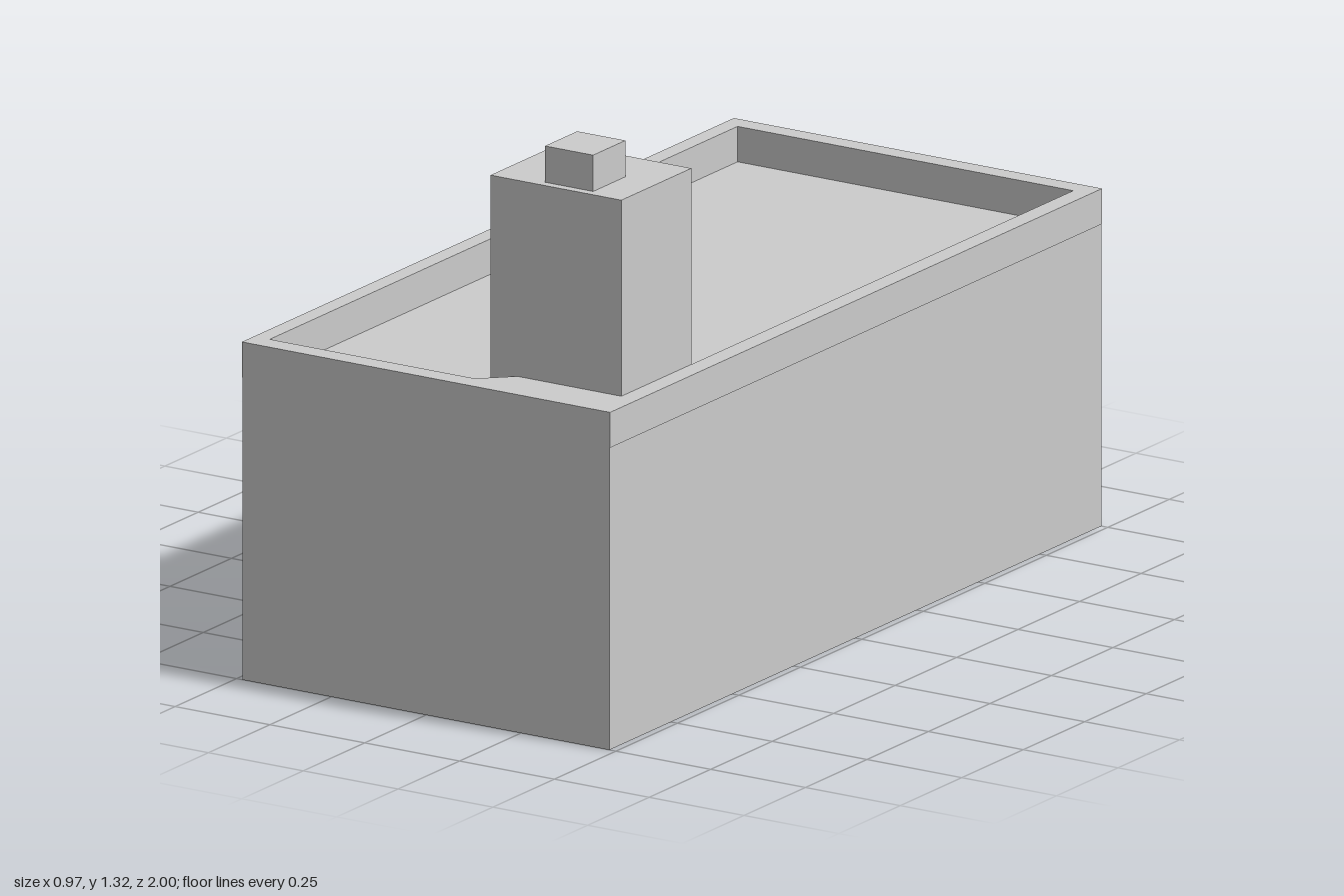
import * as THREE from 'three';

const material = new THREE.MeshStandardMaterial({ color: 0xcccccc, flatShading: true });

// Box given by its lower and upper bounds on each axis
function block(name, [x0, x1], [y0, y1], [z0, z1]) {
  const mesh = new THREE.Mesh(new THREE.BoxGeometry(x1 - x0, y1 - y0, z1 - z0), material);
  mesh.position.set((x0 + x1) / 2, (y0 + y1) / 2, (z0 + z1) / 2);
  mesh.name = name;
  return mesh;
}

// Plan outline in (x, z)
const plan = (points) => points.map(([x, z]) => new THREE.Vector2(x, z));

export function createModel() {
  const group = new THREE.Group();
  group.name = 'building';
  const roofY = 0.7, rimY = 0.782, towerY = 1.236;

  // Main volume, its top is the sunken flat roof
  group.add(block('body', [-0.485, 0.483], [0, roofY], [-1, 1]));

  // Parapet around the roof, widened at the front corner beside the tower
  const outline = new THREE.Shape(plan([[-0.486, -1], [0.485, -1], [0.485, 1], [-0.486, 1]]));
  outline.holes.push(new THREE.Path(plan([
    [-0.445, -0.952], [-0.445, 0.95], [0.095, 0.95], [0.165, 0.885], [0.44, 0.885], [0.44, -0.952],
  ])));
  const rim = new THREE.ExtrudeGeometry(outline, { depth: rimY - roofY, bevelEnabled: false });
  rim.rotateX(Math.PI / 2).translate(0, rimY, 0);
  const parapet = new THREE.Mesh(rim, material);
  parapet.name = 'parapet';
  group.add(parapet);

  // Rooftop tower with a small cap
  group.add(block('tower', [0.095, 0.44], [roofY, towerY], [0.6, 0.885]));
  group.add(block('towerCap', [0.225, 0.352], [towerY, 1.32], [0.733, 0.864]));

  return group;
}
